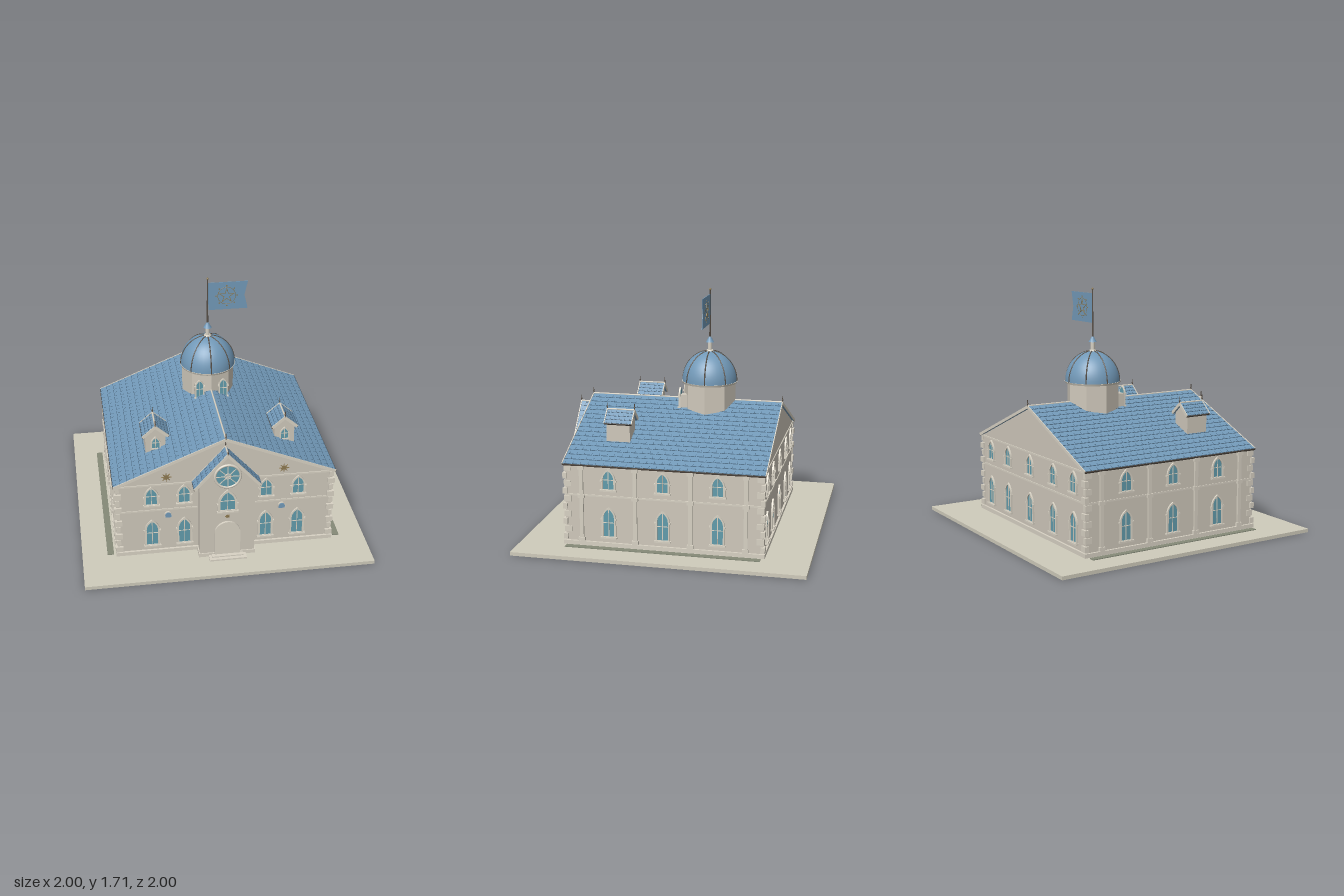
import * as THREE from 'three';
import { mergeGeometries } from 'three/addons/utils/BufferGeometryUtils.js';

const paint = (color, extra = {}) => new THREE.MeshStandardMaterial({ color, ...extra });
const STONE = paint(0xcfc8bb), TRIM = paint(0xd8d2c4), PAVING = paint(0xcfcbbb), ROOF = paint(0x7299b8);
const SEAM = paint(0x46627a), GLASS = paint(0x629cac), WOOD = paint(0x9a7f70), DARK = paint(0x5a5148);
const GOLD = paint(0x8d7a52), BED = paint(0x858a78), DRUM = paint(0xcfc8bb, { flatShading: true });

const box = (w, h, d) => new THREE.BoxGeometry(w, h, d);
const rod = (r0, r1, h, n = 10) => new THREE.CylinderGeometry(r0, r1, h, n);
const extrude = (shape, depth) => new THREE.ExtrudeGeometry(shape, { depth, bevelEnabled: false, curveSegments: 8 });

function add(parent, name, geo, mat, x = 0, y = 0, z = 0) {
  const m = new THREE.Mesh(geo, mat);
  m.name = name;
  m.position.set(x, y, z);
  parent.add(m);
  return m;
}
function group(parent, name, x = 0, y = 0, z = 0, ry = 0) {
  const g = new THREE.Group();
  g.name = name;
  g.position.set(x, y, z);
  g.rotation.y = ry;
  parent.add(g);
  return g;
}
const polygon = pts => new THREE.Shape(pts.map(p => new THREE.Vector2(...p)));

// Upright arch outline from y0 to h, either pointed or round
function arch(w, h, y0 = 0, round = false) {
  const s = new THREE.Shape(), a = w / 2, spring = h - (round ? a : w * 0.85);
  s.moveTo(-a, y0);
  s.lineTo(a, y0);
  s.lineTo(a, spring);
  if (round) s.absarc(0, spring, a, 0, Math.PI);
  else {
    s.quadraticCurveTo(a, spring + w * 0.5, 0, h);
    s.quadraticCurveTo(-a, spring + w * 0.5, -a, spring);
  }
  s.lineTo(-a, y0);
  return s;
}

// Arched frame, glass, glazing bars and sill
function archWindow(parent, x, y, z, ry, w, h, sill = true) {
  const g = group(parent, 'archedWindow', x, y, z, ry), t = w * 0.13;
  const frame = arch(w, h);
  frame.holes.push(arch(w - 2 * t, h - t, t));
  add(g, 'windowFrame', extrude(frame, 0.012), TRIM);
  add(g, 'windowGlass', extrude(arch(w - 1.6 * t, h - 0.8 * t, t * 0.8), 0.004), GLASS);
  add(g, 'mullion', box(0.005, h - 1.5 * t, 0.006), TRIM, 0, h / 2, 0.005);
  add(g, 'transom', box(w - 2 * t, 0.004, 0.006), TRIM, 0, h * 0.5, 0.005);
  if (sill) {
    add(g, 'sill', box(w + 0.014, 0.012, 0.022), TRIM, 0, 0.004, 0.009);
    for (const s of [-1, 1]) add(g, 'impost', box(0.014, 0.012, 0.016), TRIM, s * w / 2, h - w * 0.85, 0.007);
  }
}

// Gabled roof with overlapping courses, joints, verges, ridge and finials
function gableRoof(parent, name, x, z0, z1, half, eave, ridge, rows, joints) {
  const g = group(parent, name, x, ridge, (z0 + z1) / 2), d = z1 - z0;
  const L = Math.hypot(half, ridge - eave), angle = Math.atan2(ridge - eave, half), step = L / rows;
  for (const s of [-1, 1]) {
    const side = group(g, 'roofSlope');
    side.rotation.z = -s * angle;
    add(side, 'roofDeck', box(L, 0.012, d - 0.004), ROOF, s * L / 2, -0.008, 0);
    const ticks = [], seams = [];
    for (let i = 0; i < rows; i++) {
      const c = add(side, 'tileCourse', box(step, 0.004, d - 0.008), ROOF, s * (i + 0.5) * step, -0.001, 0);
      c.rotation.z = s * 0.05;
      seams.push(box(0.0025, 0.004, d - 0.008).translate(s * (i + 1) * step - s * 0.002, 0.001, 0));
      for (let j = 0; j < joints; j++) {
        const z = ((j + (i % 2 ? 0.75 : 0.25)) / joints - 0.5) * (d - 0.02);
        ticks.push(box(step * 0.4, 0.003, 0.0025).translate(s * (i + 0.7) * step, 0.001, z));
      }
    }
    add(side, 'courseSeams', mergeGeometries(seams), SEAM);
    add(side, 'tileJoints', mergeGeometries(ticks), SEAM);
    for (const e of [-1, 1]) add(side, 'vergeBoard', box(L, 0.02, 0.006), TRIM, s * L / 2, -0.006, e * d / 2);
    add(side, 'eaveGutter', box(0.008, 0.012, d), DARK, s * L, -0.006, 0);
  }
  add(g, 'ridgeCap', rod(0.006, 0.006, d, 8), TRIM).rotation.x = Math.PI / 2;
  for (const e of [-1, 1]) {
    add(g, 'finialSpike', rod(0.002, 0.004, 0.045, 8), DARK, 0, 0.02, e * d / 2);
    add(g, 'finialBall', new THREE.SphereGeometry(0.006, 8, 6), DARK, 0, 0.016, e * d / 2);
  }
}

function starShape(points, R, r) {
  const pts = [];
  for (let i = 0; i < points * 2; i++) {
    const a = i * Math.PI / points + Math.PI / 2, q = i % 2 ? r : R;
    pts.push([q * Math.cos(a), q * Math.sin(a)]);
  }
  return polygon(pts);
}

export function createModel() {
  const root = new THREE.Group();
  root.name = 'domedHall';

  // Ground slab, side beds and front steps
  add(root, 'groundSlab', box(2, 0.025, 2), PAVING, 0, 0.0125, 0);
  for (const s of [-1, 1]) add(root, 'sideBed', box(0.045, 0.006, 1.34), BED, s * 0.803, 0.027, 0);
  add(root, 'lowerStep', box(0.26, 0.012, 0.07), TRIM, 0, 0.03, 0.81);
  add(root, 'upperStep', box(0.22, 0.024, 0.05), TRIM, 0, 0.032, 0.795);

  // Main hall
  const hall = polygon([[-0.75, 0.02], [0.75, 0.02], [0.75, 0.588], [0, 0.897], [-0.75, 0.588]]);
  add(root, 'hallWalls', extrude(hall, 1.36), STONE, 0, 0, -0.68);
  add(root, 'plinth', box(1.53, 0.03, 1.39), TRIM, 0, 0.038, 0);
  add(root, 'stringCourse', box(1.51, 0.012, 1.37), TRIM, 0, 0.38, 0);
  add(root, 'cornice', box(1.515, 0.012, 1.372), TRIM, 0, 0.586, 0);
  gableRoof(root, 'mainRoof', 0, -0.695, 0.695, 0.768, 0.598, 0.915, 16, 26);

  // Corner quoins, alternating long and short
  for (const sx of [-1, 1]) for (const sz of [-1, 1]) for (let i = 0; i < 10; i++) {
    const a = i % 2 ? 0.03 : 0.05, b = i % 2 ? 0.05 : 0.03, p = i % 2 ? 0.008 : 0.015;
    add(root, 'quoin', box(a, 0.04, b), TRIM, sx * (0.75 + p - a / 2), 0.08 + i * 0.054, sz * (0.68 + p - b / 2));
  }

  // Windows and pilasters on the long sides
  for (const s of [-1, 1]) {
    for (const z of [-0.375, 0, 0.375]) {
      archWindow(root, s * 0.75, 0.085, z, s * Math.PI / 2, 0.1, 0.22);
      archWindow(root, s * 0.75, 0.42, z, s * Math.PI / 2, 0.1, 0.155);
    }
    for (const z of [-0.565, -0.19, 0.19, 0.565]) {
      add(root, 'pilaster', box(0.02, 0.54, 0.026), TRIM, s * 0.755, 0.31, z);
      for (const y of [0.068, 0.375, 0.575]) add(root, 'pilasterBlock', box(0.026, 0.025, 0.044), TRIM, s * 0.757, y, z);
    }
  }

  // Front and back windows
  for (const x of [-0.51, -0.285, 0.285, 0.51]) {
    archWindow(root, x, 0.085, 0.68, 0, 0.105, 0.22);
    archWindow(root, x, 0.42, 0.68, 0, 0.1, 0.155);
  }
  for (const x of [-0.6, -0.33, 0, 0.33, 0.6]) {
    archWindow(root, x, 0.085, -0.68, Math.PI, 0.1, 0.22);
    archWindow(root, x, 0.42, -0.68, Math.PI, 0.1, 0.155);
  }

  // Front stars and small hooded vents
  for (const s of [-1, 1]) {
    add(root, 'wallStar', extrude(starShape(8, 0.036, 0.012), 0.008), GOLD, s * 0.405, 0.643, 0.68);
    add(root, 'ventFrame', extrude(arch(0.052, 0.046, 0, true), 0.01), TRIM, s * 0.397, 0.316, 0.68);
    add(root, 'ventPanel', extrude(arch(0.042, 0.038, 0, true), 0.014), ROOF, s * 0.397, 0.319, 0.68);
  }

  // Entrance bay
  const bay = polygon([[-0.19, 0.02], [0.19, 0.02], [0.19, 0.606], [0, 0.828], [-0.19, 0.606]]);
  add(root, 'entranceBay', extrude(bay, 0.12), STONE, 0, 0, 0.66);
  add(root, 'bayPlinth', box(0.395, 0.03, 0.11), TRIM, 0, 0.038, 0.732);
  gableRoof(root, 'bayRoof', 0, 0.68, 0.79, 0.23, 0.592, 0.853, 8, 3);
  archWindow(root, 0, 0.39, 0.78, 0, 0.135, 0.18);
  add(root, 'doorStar', extrude(starShape(8, 0.017, 0.007), 0.008), GOLD, 0, 0.352, 0.78);

  // Arched double door
  const door = group(root, 'entranceDoor', 0, 0.045, 0.78);
  const surround = arch(0.178, 0.265, 0, true);
  surround.holes.push(arch(0.15, 0.25, -0.001, true));
  add(door, 'doorSurround', extrude(surround, 0.016), TRIM);
  add(door, 'doorLeaves', extrude(arch(0.152, 0.25, 0, true), 0.006), WOOD);
  add(door, 'doorGap', box(0.005, 0.185, 0.004), DARK, 0, 0.093, 0.007);
  add(door, 'doorTransom', box(0.148, 0.006, 0.006), DARK, 0, 0.185, 0.007);
  for (const s of [-1, 1]) {
    for (const x of [0.025, 0.05]) add(door, 'plankJoint', box(0.002, 0.18, 0.002), DARK, s * x, 0.093, 0.007);
    add(door, 'doorKnob', new THREE.SphereGeometry(0.005, 8, 6), GOLD, s * 0.01, 0.095, 0.01);
  }

  // Round wheel window
  const wheel = group(root, 'wheelWindow', 0, 0.678, 0.78);
  add(wheel, 'wheelGlass', rod(0.088, 0.088, 0.012, 32), GLASS).rotation.x = Math.PI / 2;
  add(wheel, 'wheelFrame', new THREE.TorusGeometry(0.087, 0.009, 8, 36), TRIM, 0, 0, 0.004);
  add(wheel, 'wheelHub', new THREE.TorusGeometry(0.02, 0.004, 6, 20), TRIM, 0, 0, 0.007);
  for (let i = 0; i < 4; i++) add(wheel, 'wheelSpoke', box(0.17, 0.005, 0.006), TRIM, 0, 0, 0.007).rotation.z = i * Math.PI / 4;

  // Roof dormers
  for (const s of [-1, 1]) {
    const front = polygon([[-0.07, 0.7], [0.07, 0.7], [0.07, 0.836], [0, 0.898], [-0.07, 0.836]]);
    add(root, 'dormerWalls', extrude(front, 0.165), STONE, s * 0.45, 0, 0.285);
    gableRoof(root, 'dormerRoof', s * 0.45, 0.268, 0.462, 0.092, 0.835, 0.915, 4, 5);
    archWindow(root, s * 0.45, 0.73, 0.45, 0, 0.07, 0.1, false);
  }

  // Octagonal drum
  const dome = group(root, 'dome', 0, 0, -0.17);
  add(dome, 'drum', rod(0.187, 0.187, 0.215, 8), DRUM, 0, 0.94, 0);
  for (const s of [-1, 1]) archWindow(dome, s * 0.085, 0.86, 0.19, 0, 0.064, 0.15);
  for (const s of [-1, 1]) add(dome, 'windowReveal', box(0.064, 0.1, 0.12), STONE, s * 0.085, 0.91, 0.13);

  // Dome shell with eight ribs
  const profile = [];
  for (let i = 0; i <= 16; i++) {
    const a = i / 16 * Math.PI / 2;
    profile.push(new THREE.Vector2(0.196 * Math.cos(a), 1.05 + 0.215 * Math.sin(a)));
  }
  add(dome, 'domeShell', new THREE.LatheGeometry(profile, 40), ROOF);
  add(dome, 'domeCornice', rod(0.2, 0.194, 0.014, 40), TRIM, 0, 1.045, 0);
  const curve = new THREE.CatmullRomCurve3(profile.map(p => new THREE.Vector3(p.x, p.y, 0)));
  for (let i = 0; i < 8; i++) add(dome, 'domeRib', new THREE.TubeGeometry(curve, 20, 0.0045, 6), DARK).rotation.y = i * Math.PI / 4;

  // Lantern and flagpole
  add(dome, 'lanternCollar', rod(0.022, 0.028, 0.012, 16), TRIM, 0, 1.267, 0);
  add(dome, 'lantern', rod(0.015, 0.015, 0.065, 12), TRIM, 0, 1.295, 0);
  add(dome, 'lanternCap', rod(0.003, 0.029, 0.045, 16), ROOF, 0, 1.35, 0);
  add(dome, 'flagpole', rod(0.004, 0.006, 0.345, 10), DARK, 0, 1.53, 0);
  add(dome, 'poleBall', new THREE.SphereGeometry(0.008, 10, 8), GOLD, 0, 1.702, 0);

  // Swallow-tailed flag with a ringed star on both faces
  const cloth = polygon([[0.006, 1.462], [0.288, 1.462], [0.264, 1.566], [0.288, 1.67], [0.006, 1.67]]);
  add(dome, 'flag', extrude(cloth, 0.004), ROOF, 0, 0, -0.002);
  const badge = group(dome, 'flagStar', 0.137, 1.566, 0);
  const outline = starShape(5, 0.06, 0.023);
  outline.holes.push(starShape(5, 0.048, 0.0184));
  add(badge, 'starOutline', extrude(outline, 0.01), GOLD, 0, 0, -0.005);
  add(badge, 'starRing', new THREE.TorusGeometry(0.064, 0.003, 6, 32), GOLD);
  for (let i = 0; i < 8; i++) {
    const a = i * Math.PI / 4;
    add(badge, 'ringStud', box(0.009, 0.009, 0.009), GOLD, 0.076 * Math.cos(a), 0.076 * Math.sin(a), 0).rotation.z = a;
  }
  return root;
}
